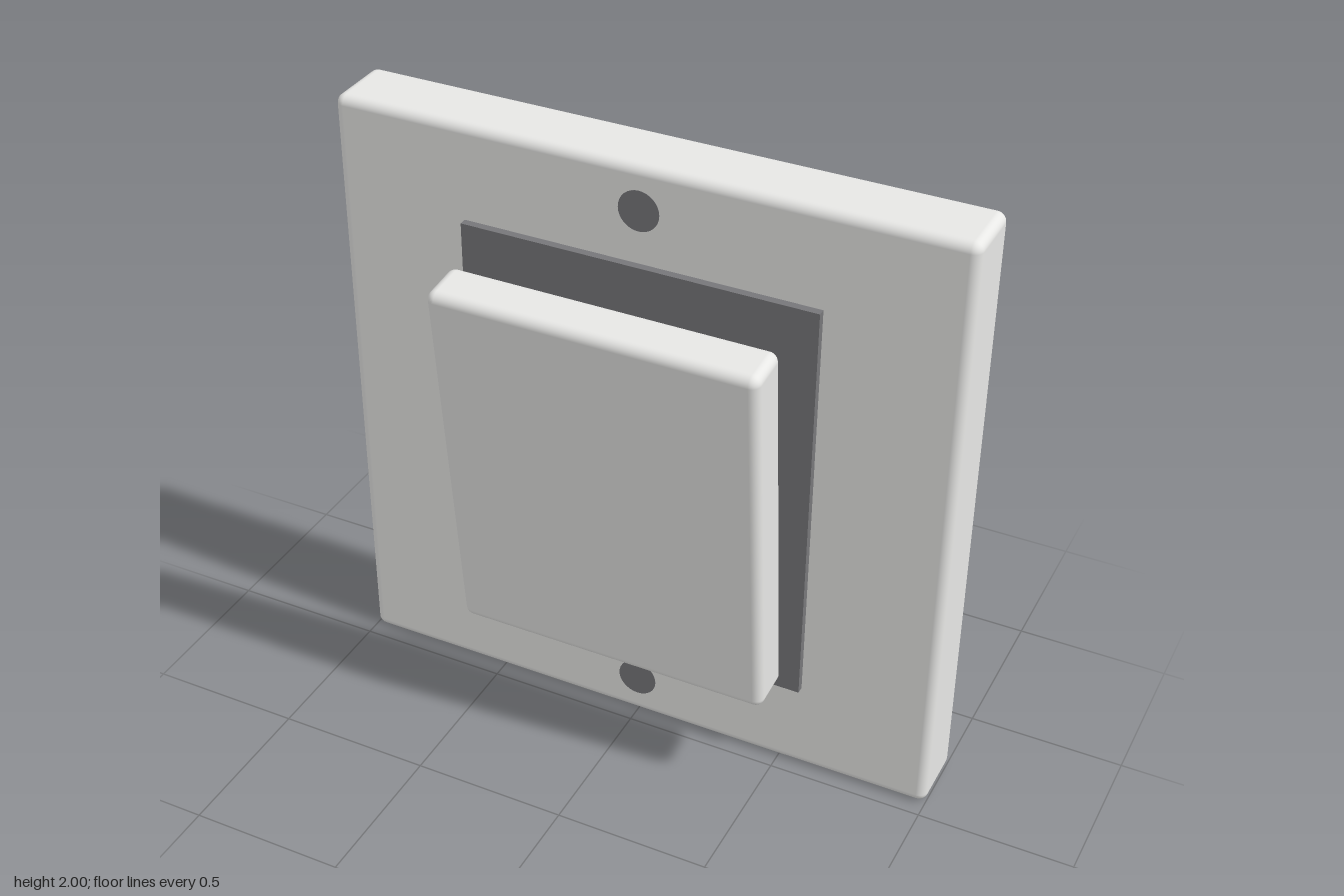
import * as THREE from 'three';
import { RoundedBoxGeometry } from 'three/addons/geometries/RoundedBoxGeometry.js';

const white = new THREE.MeshStandardMaterial({ color: 0xeeeeec });
white.name = 'white plastic';
const dark = new THREE.MeshStandardMaterial({ color: 0x77777a });
dark.name = 'dark grey';

export function createModel() {
  const group = new THREE.Group();
  group.name = 'wallSwitch';
  const add = (name, geometry, material, x, y, z) => {
    const mesh = new THREE.Mesh(geometry, material);
    mesh.name = name;
    mesh.position.set(x, y, z);
    group.add(mesh);
    return mesh;
  };

  // Wall plate with softly rounded edges
  add('wallPlate', new RoundedBoxGeometry(2, 2, 0.228, 4, 0.03), white, 0, 1, -0.164);

  // Dark backing behind the rocker
  add('rockerBacking', new THREE.BoxGeometry(1.14, 1.375, 0.035), dark, 0, 1.003, -0.0425);

  // Rocker, pressed in at the bottom
  const rocker = add('rocker', new RoundedBoxGeometry(1.04, 1.274, 0.16, 4, 0.03), white, 0, 1.003, 0.138);
  rocker.rotation.x = 0.1;

  // Flush screws above and below the rocker
  for (const [name, y] of [['topScrew', 1.86], ['bottomScrew', 0.14]]) {
    const disc = new THREE.CylinderGeometry(0.065, 0.065, 0.006, 32).rotateX(Math.PI / 2);
    add(name, disc, dark, 0, y, -0.052);
  }
  return group;
}
